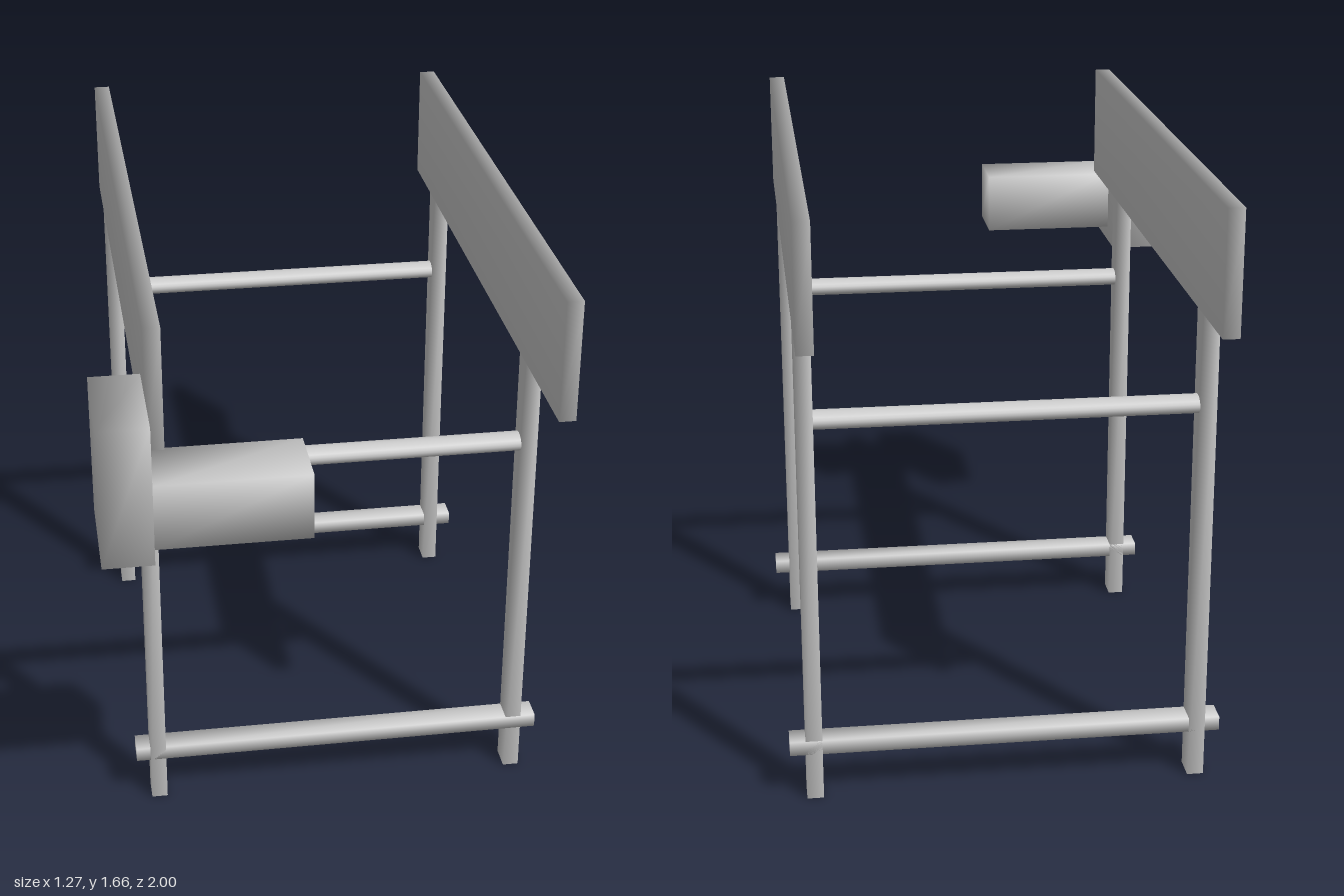
import * as THREE from 'three';
import { mergeVertices } from 'three/addons/utils/BufferGeometryUtils.js';

const material = new THREE.MeshStandardMaterial({ color: 0xcccccc });

// Box between two corners, with normals shared across its edges
function softBox(name, [x0, y0, z0], [x1, y1, z1]) {
  let geometry = new THREE.BoxGeometry(x1 - x0, y1 - y0, z1 - z0);
  geometry.deleteAttribute('normal');
  geometry.deleteAttribute('uv');
  geometry = mergeVertices(geometry);
  geometry.computeVertexNormals();
  const mesh = new THREE.Mesh(geometry, material);
  mesh.name = name;
  mesh.position.set((x0 + x1) / 2, (y0 + y1) / 2, (z0 + z1) / 2);
  return mesh;
}

// Rounded bar along x, slightly wider in depth than in height
function roundBar(name, x0, x1, y, z, height, depth) {
  const geometry = new THREE.CylinderGeometry(0.5, 0.5, x1 - x0, 20);
  geometry.rotateZ(Math.PI / 2);
  geometry.scale(1, height, depth);
  const mesh = new THREE.Mesh(geometry, material);
  mesh.name = name;
  mesh.position.set((x0 + x1) / 2, y, z);
  return mesh;
}

export function createModel() {
  const model = new THREE.Group();
  model.name = 'conveyorFrame';

  const sides = [['right', -0.505, -0.46], ['left', 0.545, 0.59]];
  const frames = [['Front', 0.45], ['Back', -0.755]];
  const half = 0.035;

  // Long side rails and the legs below them
  for (const [side, x0, x1] of sides) {
    model.add(softBox(side + 'Rail', [x0, 1.332, -1], [x1, 1.665, 0.83]));
    for (const [end, z] of frames) {
      model.add(softBox(side + end + 'Leg', [x0, 0, z - half], [x1, 1.332, z + half]));
    }
  }

  // Cross bars joining each pair of legs
  for (const [end, z] of frames) {
    model.add(softBox('lower' + end + 'Bar', [-0.545, 0.133, z - half], [0.633, 0.173, z + half]));
    model.add(roundBar('upper' + end + 'Bar', -0.465, 0.55, 1.08, z, 0.05, 0.07));
  }

  // Drive unit on the right rail
  const drive = new THREE.Group();
  drive.name = 'driveUnit';
  drive.add(softBox('gearbox', [-0.637, 1.103, 0.703], [-0.505, 1.483, 1]));
  drive.add(softBox('motor', [-0.505, 1.147, 0.807], [-0.11, 1.325, 1]));
  model.add(drive);

  return model;
}
